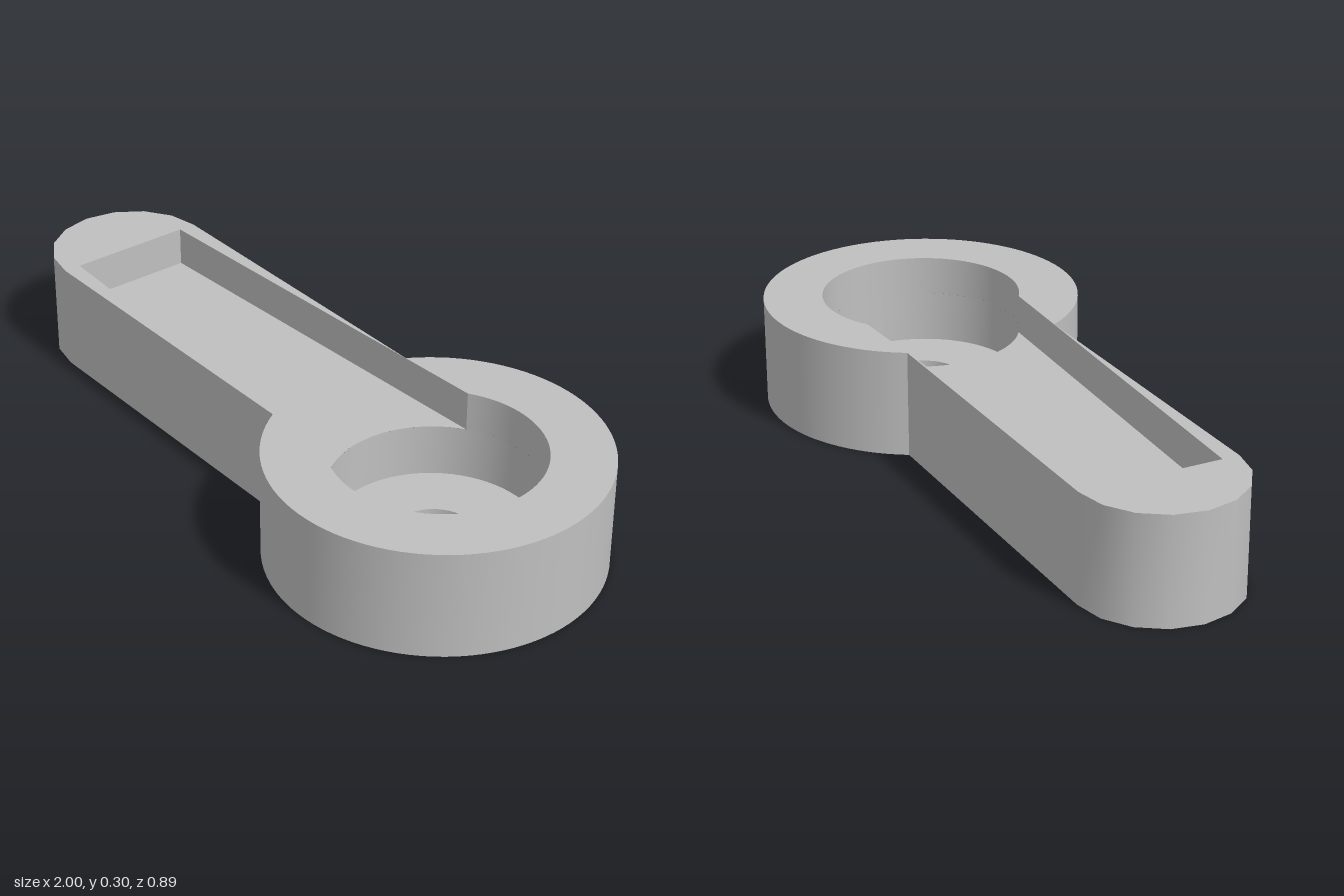
import * as THREE from 'three';

const TOP = 0.3, SLOT_Y = 0.19, RECESS_Y = 0.044;
const HUB_X = 0.556, HUB_R = 0.444, RECESS_R = 0.278, BORE_R = 0.111;
const ARM_X = -0.778, ARM_R = 0.222;
const SLOT_END = 0.174, SLOT_HUB = 0.233; // half widths of the tapered slot

// points (x, z) along an arc; rising angles make a wall that faces inward
function arc(cx, r, a0, a1, n) {
  return Array.from({ length: n + 1 }, (_, i) => {
    const a = a0 + ((a1 - a0) * i) / n;
    return new THREE.Vector2(cx + r * Math.cos(a), r * Math.sin(a));
  });
}

// upright smooth strip along a path
function wall(path, y0, y1) {
  const pos = [], idx = [];
  path.forEach((p, i) => {
    pos.push(p.x, y0, p.y, p.x, y1, p.y);
    if (i) {
      const a = 2 * i - 2;
      idx.push(a, a + 2, a + 3, a, a + 3, a + 1);
    }
  });
  const g = new THREE.BufferGeometry();
  g.setAttribute('position', new THREE.Float32BufferAttribute(pos, 3));
  g.setIndex(idx);
  g.computeVertexNormals();
  return g;
}

// flat horizontal face; every outline is symmetric in z
function cap(outline, hole, y, up) {
  const shape = new THREE.Shape(outline);
  if (hole) shape.holes.push(new THREE.Path(hole));
  return new THREE.ShapeGeometry(shape).rotateX(up ? -Math.PI / 2 : Math.PI / 2).translate(0, y, 0);
}

export function createModel() {
  const group = new THREE.Group();
  const grey = new THREE.MeshStandardMaterial({ color: 0xbfbfbf });
  grey.name = 'grey';
  const add = (name, geometry) => {
    const mesh = new THREE.Mesh(geometry, grey);
    mesh.name = name;
    group.add(mesh);
  };
  const PI = Math.PI;

  // outer outline: round hub plus rounded arm
  const hubArc = arc(HUB_X, HUB_R, -PI * 5 / 6, PI * 5 / 6, 80);
  const armEnd = arc(ARM_X, ARM_R, PI / 2, PI * 1.5, 8);
  const outline = [...hubArc, ...armEnd];
  const armPath = [hubArc[hubArc.length - 1], ...armEnd, hubArc[0]];

  // openings: bore, round recess and tapered slot
  const circle = (r, n) => arc(HUB_X, r, 0, 2 * PI, n);
  const bore = circle(BORE_R, 48), recess = circle(RECESS_R, 72);
  const corner = PI - Math.asin(SLOT_HUB / RECESS_R);
  const recessArc = arc(HUB_X, RECESS_R, -corner, corner, 56);
  const slotMouth = arc(HUB_X, RECESS_R, 2 * PI - corner, corner, 24);
  const endFront = new THREE.Vector2(ARM_X, SLOT_END);
  const endBack = new THREE.Vector2(ARM_X, -SLOT_END);
  const mouthFront = recessArc[recessArc.length - 1], mouthBack = recessArc[0];

  // outside walls
  add('hubWall', wall([...hubArc].reverse(), 0, TOP));
  add('armWall', wall([...armPath].reverse(), 0, TOP));

  // inside walls
  add('boreWall', wall(bore, 0, RECESS_Y));
  add('recessLowerWall', wall(recess, RECESS_Y, SLOT_Y));
  add('recessUpperWall', wall(recessArc, SLOT_Y, TOP));
  add('slotFrontWall', wall([mouthFront, endFront], SLOT_Y, TOP));
  add('slotEndWall', wall([endFront, endBack], SLOT_Y, TOP));
  add('slotBackWall', wall([endBack, mouthBack], SLOT_Y, TOP));

  // flat faces
  add('underside', cap(outline, bore.slice(0, -1), 0, false));
  add('recessFloor', cap(recess.slice(0, -1), bore.slice(0, -1), RECESS_Y, true));
  add('slotFloor', cap([endFront, endBack, ...slotMouth], null, SLOT_Y, true));
  add('topFace', cap(outline, [...recessArc, endFront, endBack], TOP, true));
  return group;
}
